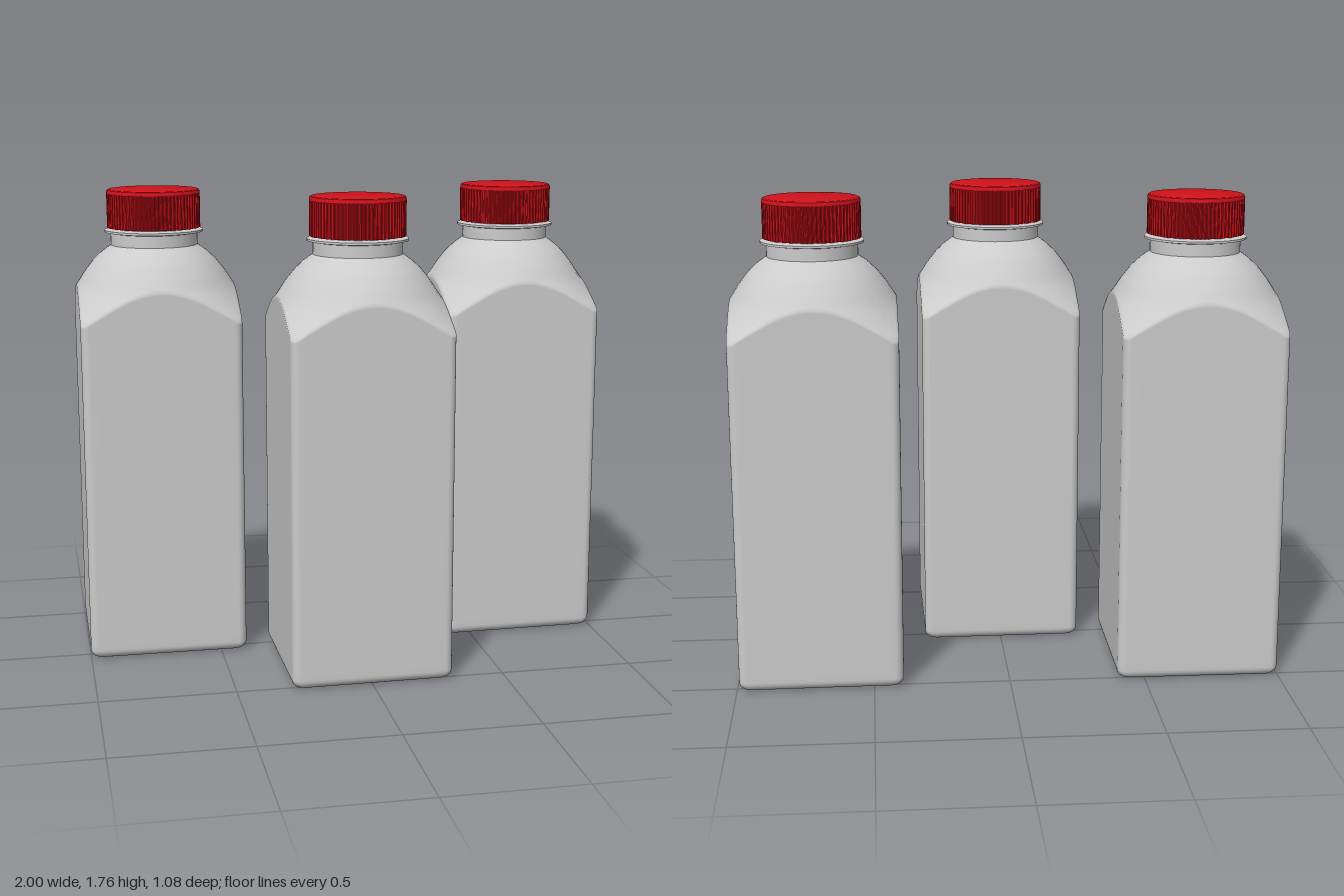
import * as THREE from 'three';
import { toCreasedNormals } from 'three/addons/utils/BufferGeometryUtils.js';

const HALF = 0.3, CORNER = 0.03, NECK = 0.165;

// Shoulder dome: height for a given distance from the bottle's axis
const DOME = [[0.165, 1.555], [0.2, 1.53], [0.235, 1.497], [0.27, 1.452], [0.3, 1.405], [0.355, 1.342], [0.42, 1.28]];
function domeHeight(r) {
  let i = 0;
  while (i < DOME.length - 2 && r > DOME[i + 1][0]) i++;
  const [r0, y0] = DOME[i], [r1, y1] = DOME[i + 1];
  return y0 + (y1 - y0) * (r - r0) / (r1 - r0);
}

// Rounded square outline, running from +x towards +z
function squareOutline(half, corner) {
  const pts = [], arcSteps = 6, sideSteps = 14, c = half - corner;
  for (let q = 0; q < 4; q++) {
    const turn = q * Math.PI / 2;
    const add = (x, z) => pts.push([
      x * Math.cos(turn) - z * Math.sin(turn), x * Math.sin(turn) + z * Math.cos(turn)]);
    for (let i = 1; i < sideSteps; i++) add(half, -c + 2 * c * i / sideSteps);
    for (let i = 0; i <= arcSteps; i++) {
      const a = i / arcSteps * Math.PI / 2;
      add(c + corner * Math.cos(a), c + corner * Math.sin(a));
    }
  }
  return pts;
}

// Square body whose walls end where they meet the round dome
function bodyGeometry() {
  const outline = squareOutline(HALF, CORNER), n = outline.length;
  const rows = [outline.map(() => [0, 0, 0])];
  // Rounded bottom edge
  for (let i = 0; i <= 6; i++) {
    const a = i / 6 * Math.PI / 2, k = 1 - 0.035 * (1 - Math.sin(a)) / HALF;
    rows.push(outline.map(([x, z]) => [x * k, 0.035 * (1 - Math.cos(a)), z * k]));
  }
  // Straight walls up to the curved crease
  for (const drop of [null, 0.03, 0.01]) {
    rows.push(outline.map(([x, z]) =>
      [x, drop === null ? 0.06 : domeHeight(Math.hypot(x, z)) - drop, z]));
  }
  // Dome, from the crease inwards to the neck
  const steps = 18;
  for (let i = 0; i <= steps; i++) {
    rows.push(outline.map(([x, z]) => {
      const edge = Math.hypot(x, z), r = edge + (NECK - edge) * i / steps;
      return [x * r / edge, domeHeight(r), z * r / edge];
    }));
  }
  const index = [];
  for (let j = 0; j < rows.length - 1; j++) {
    for (let i = 0; i < n; i++) {
      const a = j * n + i, b = j * n + (i + 1) % n;
      if (j > 0) index.push(a, a + n, b);
      index.push(b, a + n, b + n);
    }
  }
  const geo = new THREE.BufferGeometry();
  geo.setAttribute('position', new THREE.Float32BufferAttribute(rows.flat(2), 3));
  geo.setIndex(index);
  geo.computeVertexNormals();
  return geo;
}

function lathe(points, segments = 64) {
  const geo = new THREE.LatheGeometry(points.map(([r, y]) => new THREE.Vector2(r, y)), segments);
  return toCreasedNormals(geo, 0.6);
}

// Grip ring of the cap: a fine-toothed outline pulled upwards
function gripGeometry() {
  const shape = new THREE.Shape(), teeth = 72;
  for (let i = 0; i < teeth * 4; i++) {
    const a = i / (teeth * 4) * Math.PI * 2, r = i % 4 < 2 ? 0.177 : 0.172;
    shape[i ? 'lineTo' : 'moveTo'](r * Math.cos(a), r * Math.sin(a));
  }
  const hole = new THREE.Path();
  hole.absarc(0, 0, 0.16, 0, Math.PI * 2, true);
  shape.holes.push(hole);
  const geo = new THREE.ExtrudeGeometry(shape, { depth: 0.13, bevelEnabled: false, curveSegments: 32 });
  geo.rotateX(-Math.PI / 2);
  geo.translate(0, 1.62, 0);
  return geo;
}

export function createModel() {
  const grey = new THREE.MeshStandardMaterial({ color: 0xcccccc });
  const red = new THREE.MeshStandardMaterial({ color: 0xd0121b });
  const parts = [
    ['body', bodyGeometry(), grey],
    // Neck with its support collar
    ['neck', lathe([[0.165, 1.55], [0.165, 1.6], [0.187, 1.604], [0.187, 1.612], [0.168, 1.616], [0.155, 1.617], [0.155, 1.7]]), grey],
    ['capGrip', gripGeometry(), red],
    // Cap lid with a softened rim
    ['capLid', lathe([[0.177, 1.748], [0.177, 1.755], [0.174, 1.762], [0.168, 1.765], [0, 1.765]]), red],
  ];

  // Three bottles: x, z and a slight turn
  const model = new THREE.Group();
  model.name = 'bottles';
  const places = [['rightBottle', -0.7, -0.23, -0.004], ['middleBottle', 0, 0.235, 0.009], ['leftBottle', 0.695, -0.24, 0.012]];
  for (const [name, x, z, turn] of places) {
    const bottle = new THREE.Group();
    bottle.name = name;
    bottle.position.set(x, 0, z);
    bottle.rotation.y = turn;
    for (const [part, geo, material] of parts) {
      const mesh = new THREE.Mesh(geo, material);
      mesh.name = part;
      bottle.add(mesh);
    }
    model.add(bottle);
  }
  return model;
}
